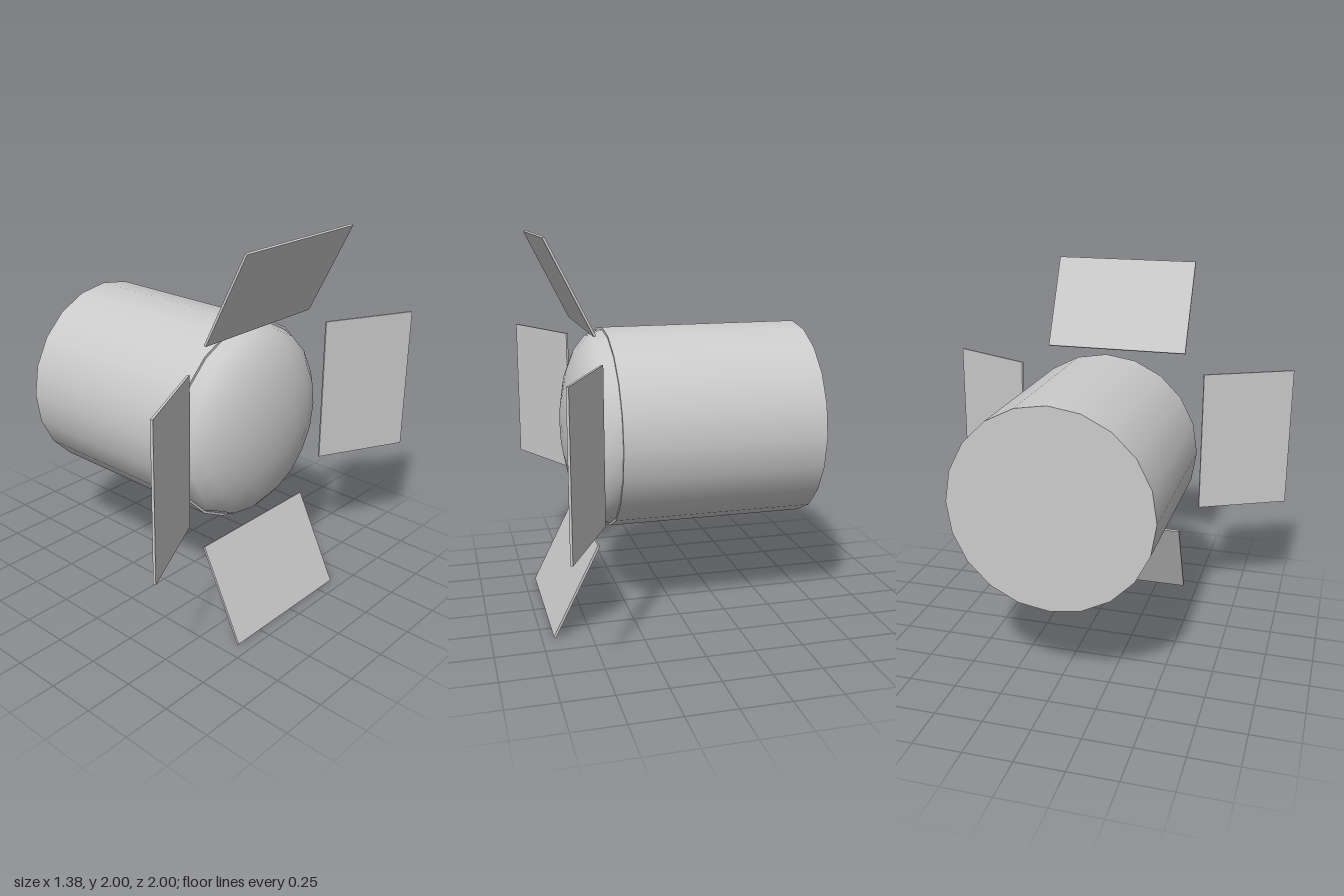
import * as THREE from 'three';

const material = new THREE.MeshStandardMaterial({ color: 0xcccccc });
const AXIS_Y = 1.002; // height of the barrel's axis

function addMesh(parent, name, geometry) {
  const mesh = new THREE.Mesh(geometry, material);
  mesh.name = name;
  parent.add(mesh);
  return mesh;
}

export function createModel() {
  const model = new THREE.Group();
  model.name = 'spotlight';

  // Barrel lying along x
  const housing = addMesh(model, 'housing', new THREE.CylinderGeometry(0.5225, 0.5225, 1.045, 20));
  housing.rotation.z = -Math.PI / 2;
  housing.position.set(-0.172, AXIS_Y, 0);

  // Flattened dome on the +x end
  const dome = new THREE.SphereGeometry(0.51, 20, 5, 0, Math.PI * 2, 0, Math.PI / 2);
  dome.scale(1, 0.22 / 0.51, 1);
  const lens = addMesh(model, 'lens', dome);
  lens.rotation.z = -Math.PI / 2;
  lens.position.set(0.35, AXIS_Y, 0);

  // Four flaps splayed outwards around the lens
  const tilt = Math.atan2(0.235, 0.47);
  ['topFlap', 'leftFlap', 'bottomFlap', 'rightFlap'].forEach((name, i) => {
    const pivot = new THREE.Group();
    pivot.name = name;
    pivot.position.y = AXIS_Y;
    pivot.rotation.x = i * Math.PI / 2;
    model.add(pivot);
    const panel = addMesh(pivot, name + 'Panel', new THREE.BoxGeometry(0.012, 0.522, 0.785));
    // Every panel sits slightly off centre towards +z or +y
    const shift = i === 0 || i === 3 ? 0.0275 : -0.0275;
    panel.position.set(0.568, 0.762, shift);
    panel.rotation.z = -tilt;
  });

  return model;
}
